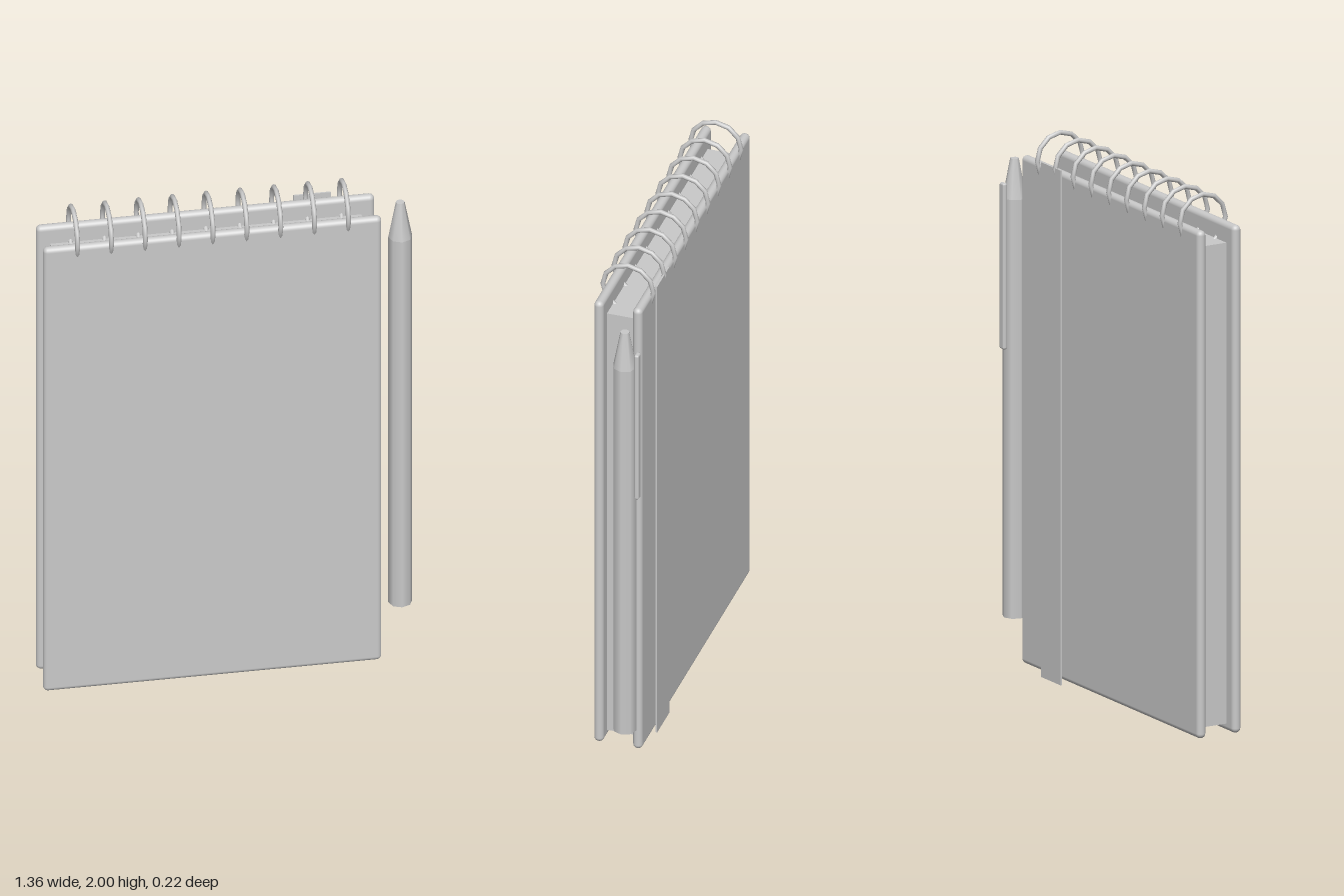
import * as THREE from 'three';
import { RoundedBoxGeometry } from 'three/addons/geometries/RoundedBoxGeometry.js';

export function createModel() {
  const model = new THREE.Group();
  model.name = 'notepadAndPen';
  const grey = new THREE.MeshStandardMaterial({ color: 0xcacaca });
  grey.name = 'plain grey';

  const add = (name, geometry, x, y, z) => {
    const mesh = new THREE.Mesh(geometry, grey);
    mesh.name = name;
    mesh.position.set(x, y, z);
    model.add(mesh);
    return mesh;
  };

  const padX = -0.069, padY = 0.954, padZ = 0.004;

  // Covers with rounded rims, and the paper block between them
  const cover = new RoundedBoxGeometry(1.224, 1.876, 0.036, 3, 0.0179);
  add('frontCover', cover, padX, padY, padZ + 0.073);
  add('backCover', cover, padX, padY, padZ - 0.073);
  add('pages', new THREE.BoxGeometry(1.125, 1.777, 0.114), padX, 0.9325, padZ);

  // Binding rings along the top edge
  const ring = new THREE.TorusGeometry(0.095, 0.009, 8, 12);
  for (let i = 0; i < 9; i++) {
    add('bindingRing' + (i + 1), ring, padX + (i - 4) * 0.1225, 1.896, padZ).rotation.y = Math.PI / 2;
  }

  // Flat closing strap on the back cover
  add('strap', new THREE.BoxGeometry(0.135, 1.902, 0.006), 0.3225, 0.951, -0.092);

  // Smooth eight-sided pen beside the pad
  const penX = 0.635, penZ = -0.056;
  add('penBarrel', new THREE.CylinderGeometry(0.0435, 0.0435, 1.547, 8), penX, 0.9365, penZ);
  add('penTip', new THREE.CylinderGeometry(0.016, 0.0435, 0.145, 8), penX, 1.7825, penZ);
  add('penClip', new RoundedBoxGeometry(0.03, 0.614, 0.018, 2, 0.007), penX, 1.463, -0.103);

  return model;
}
